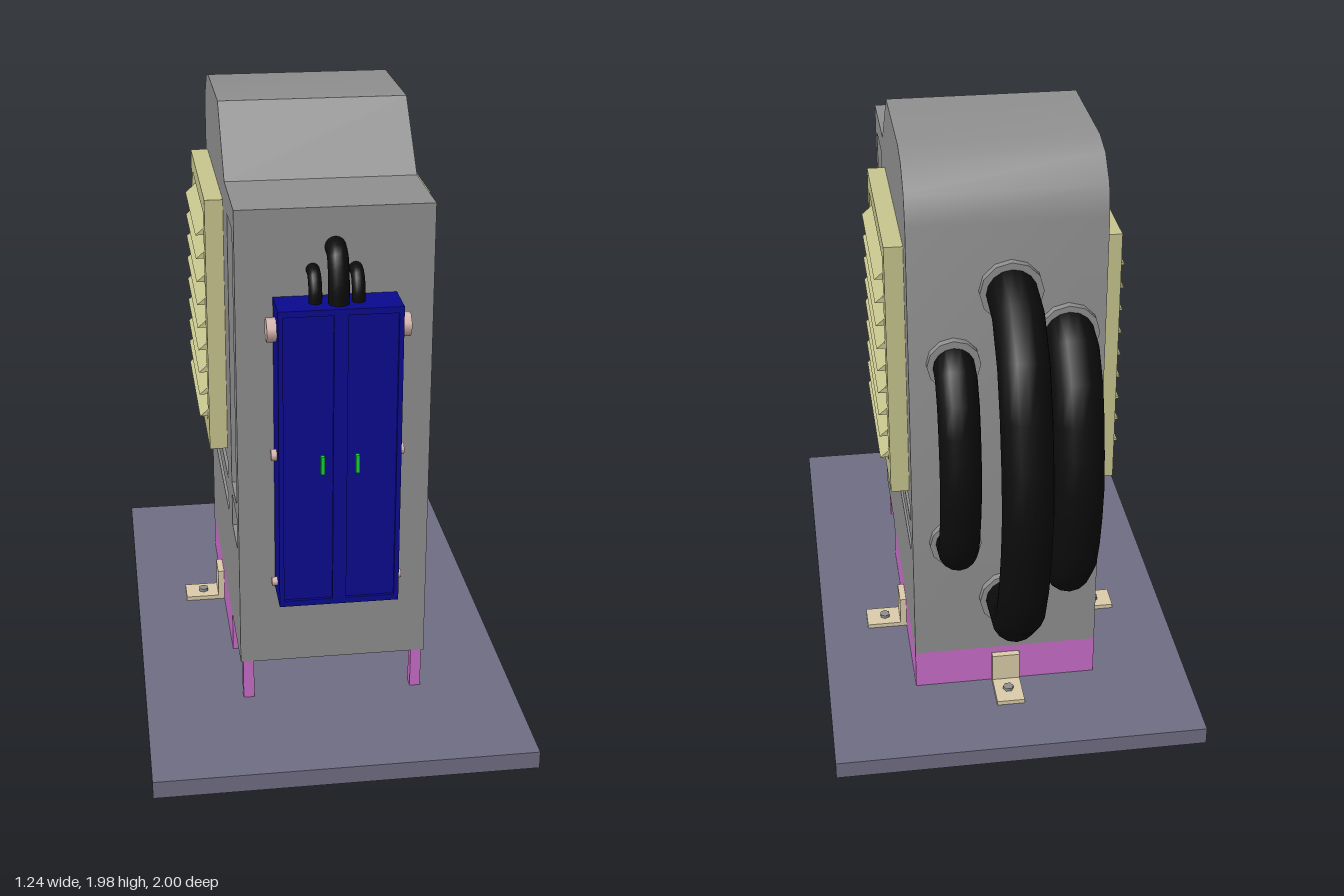
import * as THREE from 'three';
import { toCreasedNormals } from 'three/addons/utils/BufferGeometryUtils.js';

const mat = (color) => new THREE.MeshStandardMaterial({ color });
const MID = 0.01;           // centre plane of the housing
const BACK = -0.545;        // rear face of the housing

export function createModel() {
  const root = new THREE.Group();
  const grey = mat(0x909090), slate = mat(0x706e84), magenta = mat(0xca6eca);
  const yellow = mat(0xc8c68e), cyan = mat(0x78bebe), blue = mat(0x0a0a90);
  const black = mat(0x0c0c0c), beige = mat(0xdccdaa), pink = mat(0xd8b8b0);
  const green = mat(0x14d83c);

  const add = (parent, name, geo, material) => {
    const mesh = new THREE.Mesh(geo, material);
    mesh.name = name;
    parent.add(mesh);
    return mesh;
  };
  const group = (name, parent = root) => {
    const g = new THREE.Group();
    g.name = name;
    parent.add(g);
    return g;
  };
  // Box given by its limits on each axis
  const box = (parent, name, material, [x0, x1], [y0, y1], [z0, z1]) => {
    const geo = new THREE.BoxGeometry(x1 - x0, y1 - y0, z1 - z0);
    geo.translate((x0 + x1) / 2, (y0 + y1) / 2, (z0 + z1) / 2);
    return add(parent, name, geo, material);
  };
  const polygon = (pts) => pts.map(([a, b]) => new THREE.Vector2(a, b));
  const rect = ([a0, a1], [b0, b1]) => polygon([[a0, b0], [a1, b0], [a1, b1], [a0, b1]]);
  const plate = (outline, holes, depth) => {
    const shape = new THREE.Shape(outline);
    holes.forEach((h) => shape.holes.push(new THREE.Path(h)));
    return new THREE.ExtrudeGeometry(shape, { depth, bevelEnabled: false });
  };
  // Profile drawn in (z, y) and extruded across x
  const extrudeX = (outline, holes, x0, x1) =>
    plate(outline, holes, x1 - x0).rotateY(-Math.PI / 2).translate(x1, 0, 0);

  // Base plate, plinth and front legs
  box(root, 'basePlate', slate, [-0.62, 0.62], [0, 0.06], [-0.9, 1]);
  box(root, 'plinth', magenta, [-0.3, 0.32], [0.06, 0.2], [BACK, 0.25]);
  for (const s of [-1, 1]) {
    const x = MID + s * 0.284;
    box(root, 'frontLeg', magenta, [x - 0.018, x + 0.018], [0.06, 0.2], [0.525, 0.563]);
  }

  // Housing with side recesses, each closed by an inset panel
  const recesses = [
    [[0.33, 0.5], [0.755, 1.69]],
    [[0.33, 0.5], [0.595, 0.71]],
    [[-0.475, 0.18], [0.7, 0.76]],
    [[-0.475, 0.18], [0.575, 0.63]],
  ];
  const profile = polygon([
    [0.565, 0.2], [0.565, 1.77], [0.25, 1.77], [0.04, 1.98], [-0.36, 1.98],
    [-0.45, 1.955], [-0.52, 1.885], [BACK, 1.79], [BACK, 0.2],
  ]);
  const holes = recesses.map(([z, y]) => rect(z, y));
  add(root, 'housing', toCreasedNormals(extrudeX(profile, holes, -0.3, 0.32), 0.6), grey);
  for (const [z, y] of recesses) box(root, 'recessPanel', cyan, [-0.27, 0.29], y, z);

  // Louvred vents, one per side
  const slatProfile = polygon([[0, 0.045], [0.06, 0], [0.087, 0], [0, 0.075]]);
  for (const s of [-1, 1]) {
    const vent = group(s > 0 ? 'leftVent' : 'rightVent');
    vent.position.set(MID + s * 0.31, 0, -0.143);
    vent.rotation.y = s > 0 ? 0 : Math.PI;
    const frame = rect([-0.32, 0.32], [0.81, 1.69]);
    add(vent, 'ventFrame', extrudeX(frame, [rect([-0.256, 0.256], [0.885, 1.63])], 0, 0.06), yellow);
    box(vent, 'ventBacking', yellow, [0, 0.004], [0.885, 1.63], [-0.256, 0.256]);
    for (let i = 0; i < 9; i++) {
      const slat = plate(slatProfile, [], 0.51).translate(0, 0.905 + i * 0.081, -0.255);
      add(vent, 'ventSlat', slat, yellow);
    }
  }

  // Anchor brackets on both sides and the rear
  const brackets = [
    [0.32, -0.155, 0], [-0.3, -0.155, Math.PI], [MID, BACK, Math.PI / 2],
  ];
  for (const [x, z, turn] of brackets) {
    const b = group('anchorBracket');
    b.position.set(x, 0, z);
    b.rotation.y = turn;
    box(b, 'bracketUpright', beige, [0, 0.022], [0.06, 0.175], [-0.047, 0.047]);
    box(b, 'bracketFoot', beige, [0, 0.14], [0.06, 0.075], [-0.047, 0.047]);
    add(b, 'bracketBolt', new THREE.CylinderGeometry(0.018, 0.018, 0.012, 6).translate(0.075, 0.08, 0), grey);
  }

  // Front cabinet with two inset doors, handles and side fittings
  const cabinet = group('cabinet');
  cabinet.position.x = MID;
  box(cabinet, 'cabinetBody', blue, [-0.193, 0.193], [0.48, 1.49], [0.565, 0.69]);
  const doorHoles = [-1, 1].map((s) => rect([s * 0.1 - 0.078, s * 0.1 + 0.078], [0.5, 1.47]));
  add(cabinet, 'doorFrame',
    plate(rect([-0.193, 0.193], [0.48, 1.49]), doorHoles, 0.01).translate(0, 0, 0.69), blue);
  for (const s of [-1, 1]) {
    box(cabinet, 'doorHandle', green, [s * 0.055 - 0.006, s * 0.055 + 0.006], [0.945, 1.005], [0.69, 0.706]);
    for (const [y, r, out] of [[1.41, 0.038, 0.03], [0.99, 0.019, 0.018], [0.54, 0.014, 0.018]]) {
      const fitting = new THREE.CylinderGeometry(r, r, out, 8)
        .rotateY(Math.PI / 8).rotateZ(Math.PI / 2);
      add(cabinet, 'sideFitting', fitting.translate(s * (0.193 + out / 2), y, 0.635), pink);
    }
  }

  // Hose through (z, y) points on a plane of constant x
  const hose = (name, x, r, pts, segments) => {
    const curve = new THREE.CatmullRomCurve3(
      pts.map(([z, y]) => new THREE.Vector3(x, y, z)), false, 'centripetal');
    add(root, name, new THREE.TubeGeometry(curve, segments, r, 16), black);
  };

  // Cable hoses from the cabinet top into the housing
  hose('cabinetHose', MID, 0.033, [[0.645, 1.48], [0.642, 1.56], [0.615, 1.63], [0.55, 1.647]], 12);
  for (const x of [-0.06, 0.073]) {
    hose('cabinetHose', x, 0.021, [[0.63, 1.48], [0.628, 1.53], [0.605, 1.567], [0.55, 1.575]], 12);
  }

  // Rear pipe loops: x, pipe radius, half height, reach in z, flange radius
  const loops = [
    [0, 0.08, 0.575, -0.92, 0.1],
    [-0.18, 0.08, 0.42, -0.79, 0.097],
    [0.18, 0.066, 0.335, -0.724, 0.085],
  ];
  const cy = 0.99;
  for (const [x, r, h, reach, fr] of loops) {
    const d = reach - BACK;
    const half = [[0, 1], [0.4, 0.97], [0.73, 0.74], [0.91, 0.38]];
    const at = ([u, v]) => [BACK + d * u, cy + h * v];
    const lower = half.map(([u, v]) => [u, -v]).reverse();
    hose('rearPipe', x, r, [...half, [1, 0], ...lower].map(at), 10);
    for (const s of [-1, 1]) {
      const flange = new THREE.CylinderGeometry(fr, fr, 0.025, 12).rotateX(Math.PI / 2);
      add(root, 'pipeFlange', flange.translate(x, cy + s * h, BACK - 0.0125), grey);
    }
  }

  return root;
}
